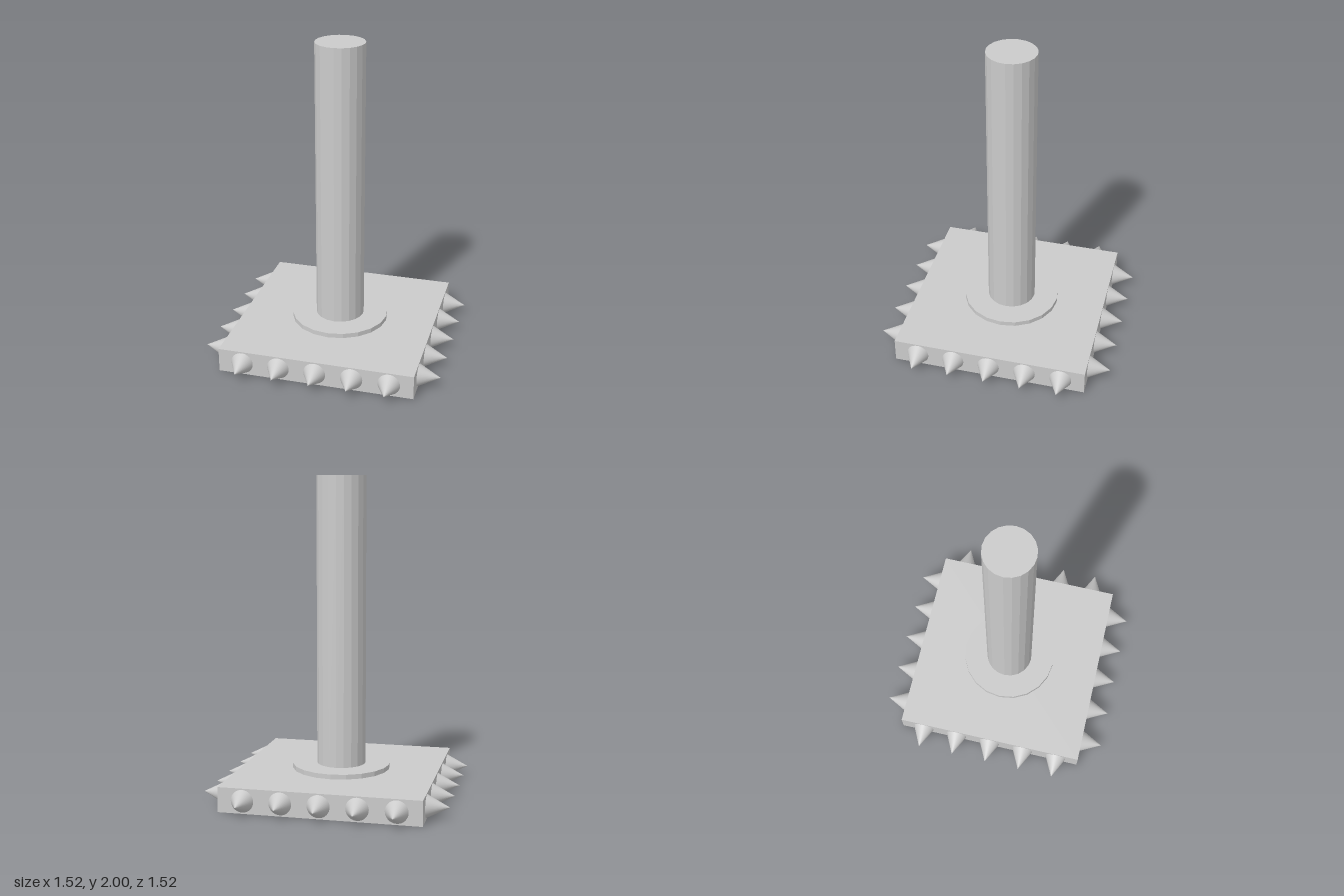
import * as THREE from 'three';

export function createModel() {
  const model = new THREE.Group();
  const flat = new THREE.MeshStandardMaterial({ color: 0xcccccc, flatShading: true });
  const smooth = new THREE.MeshStandardMaterial({ color: 0xcccccc });

  const half = 0.62;        // half width of the square plate
  const plateH = 0.155;
  const collarTop = 0.185;

  const add = (parent, name, geometry, material, y) => {
    const mesh = new THREE.Mesh(geometry, material);
    mesh.name = name;
    mesh.position.y = y;
    parent.add(mesh);
    return mesh;
  };

  // Square head, collar and long handle
  add(model, 'plate', new THREE.BoxGeometry(2 * half, plateH, 2 * half), flat, plateH / 2);
  add(model, 'collar', new THREE.CylinderGeometry(0.31, 0.31, collarTop - plateH, 20), flat, (plateH + collarTop) / 2);
  add(model, 'handle', new THREE.CylinderGeometry(0.155, 0.155, 2 - collarTop, 20), flat, (2 + collarTop) / 2);

  // Five spikes along each of the four edges, pointing outwards
  const spikeLength = 0.138;
  const spike = new THREE.ConeGeometry(0.07, spikeLength, 32);
  spike.rotateX(Math.PI / 2);
  for (let side = 0; side < 4; side++) {
    const row = new THREE.Group();
    row.name = 'spikeRow';
    row.rotation.y = side * Math.PI / 2;
    for (let i = -2; i <= 2; i++) {
      const mesh = add(row, 'spike', spike, smooth, plateH / 2);
      mesh.position.x = i * 0.2335;
      mesh.position.z = half + spikeLength / 2;
    }
    model.add(row);
  }

  return model;
}
